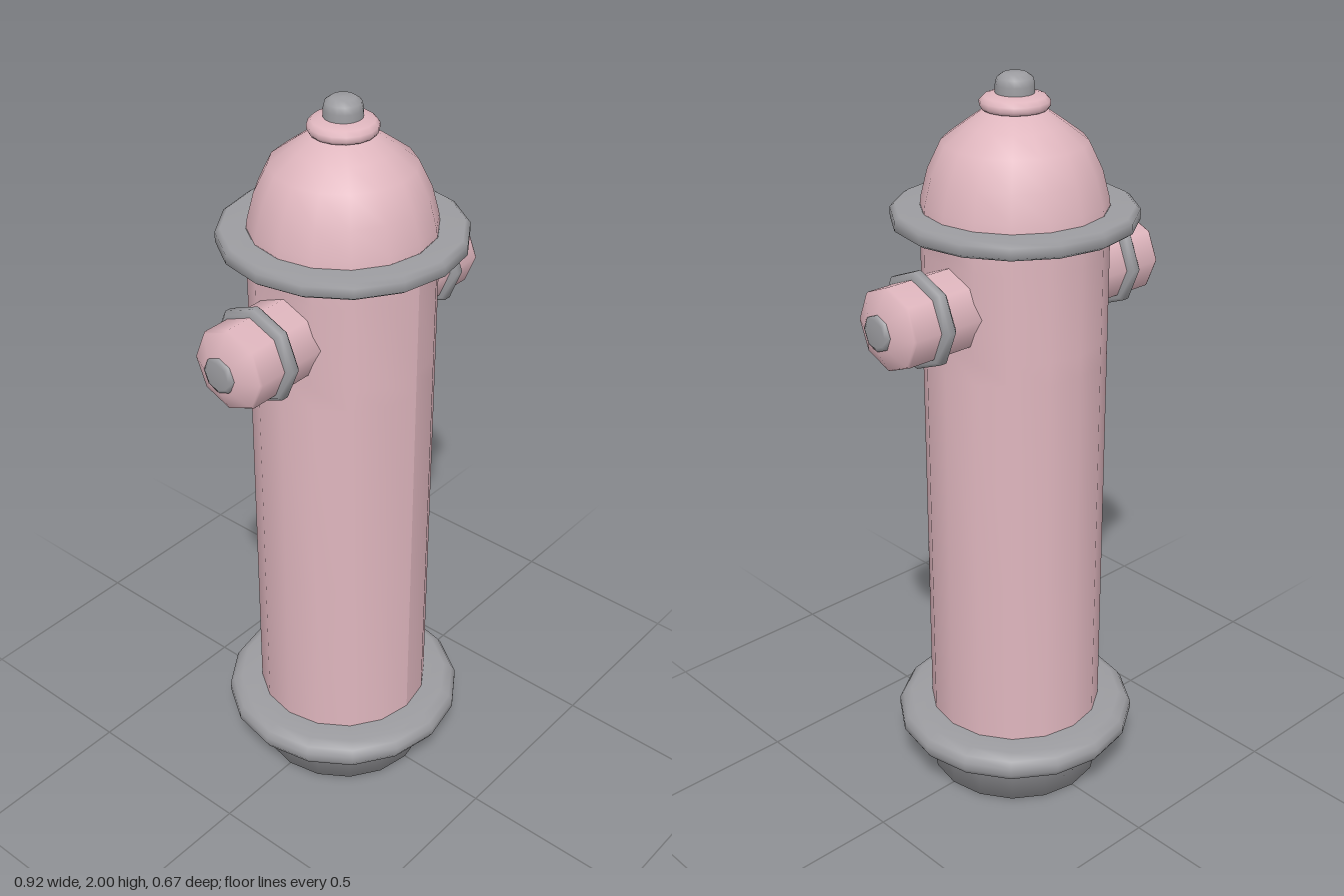
import * as THREE from 'three';

const pink = new THREE.MeshStandardMaterial({ color: 0xdfb6be });
pink.name = 'pink paint';
const grey = new THREE.MeshStandardMaterial({ color: 0x9c9ca0 });
grey.name = 'grey metal';

// Turned part from [radius, height] pairs listed bottom to top
function turned(name, profile, sides, material) {
  const points = profile.map(([r, y]) => new THREE.Vector2(r, y));
  const mesh = new THREE.Mesh(new THREE.LatheGeometry(points, sides), material);
  mesh.name = name;
  return mesh;
}

// Barrel whose side ridges are flattened where the outlets join
function makeBarrel() {
  const profile = [[0.24, 0.12], [0.24, 0.7], [0.24, 1.27], [0.24, 1.33], [0.24, 1.56], [0.24, 1.62], [0.24, 1.67]];
  const barrel = turned('barrel', profile, 16, pink);
  const p = barrel.geometry.attributes.position;
  for (let i = 0; i < p.count; i++) {
    const y = p.getY(i);
    if (y > 1.3 && y < 1.6 && Math.abs(p.getZ(i)) < 0.01) p.setX(i, Math.sign(p.getX(i)) * 0.222);
  }
  barrel.geometry.computeVertexNormals();
  return barrel;
}

// Side outlet: eight-sided spout, collar and end button, pointing along +x
function makeOutlet(name) {
  const outlet = new THREE.Group();
  outlet.name = name;
  const parts = [
    turned('spout', [[0.108, 0.18], [0.108, 0.32], [0.108, 0.415], [0.104, 0.422], [0.055, 0.448], [0, 0.448]], 8, pink),
    turned('collar', [[0.1, 0.303], [0.118, 0.303], [0.127, 0.312], [0.127, 0.331], [0.118, 0.34], [0.1, 0.34]], 8, grey),
    turned('outletButton', [[0.047, 0.435], [0.047, 0.453], [0.036, 0.459], [0, 0.459]], 8, grey),
  ];
  for (const part of parts) {
    part.geometry.rotateZ(-Math.PI / 2);
    outlet.add(part);
  }
  outlet.position.y = 1.445;
  return outlet;
}

export function createModel() {
  const hydrant = new THREE.Group();
  hydrant.name = 'hydrant';

  // Foot and lower flange
  hydrant.add(turned('foot', [[0, 0], [0.24, 0], [0.24, 0.14]], 16, grey));
  hydrant.add(turned('lowerFlange', [
    [0.23, 0.12], [0.3, 0.12], [0.324, 0.134], [0.335, 0.152],
    [0.335, 0.173], [0.324, 0.191], [0.3, 0.205], [0.23, 0.205],
  ], 16, grey));

  hydrant.add(makeBarrel());

  // Upper flange and dome
  hydrant.add(turned('upperFlange', [
    [0.22, 1.625], [0.302, 1.625], [0.315, 1.634], [0.315, 1.66], [0.302, 1.669], [0.22, 1.669],
  ], 16, grey));
  hydrant.add(turned('dome', [
    [0.24, 1.655], [0.236, 1.69], [0.218, 1.76], [0.183, 1.833], [0.125, 1.876], [0.07, 1.915], [0, 1.92],
  ], 16, pink));

  // Top plate and operating nut
  hydrant.add(turned('topPlate', [
    [0.06, 1.905], [0.083, 1.912], [0.088, 1.92], [0.088, 1.932], [0.078, 1.943], [0.05, 1.95], [0, 1.95],
  ], 16, pink));
  hydrant.add(turned('topNut', [
    [0.049, 1.94], [0.049, 1.97], [0.045, 1.987], [0.03, 1.998], [0, 2],
  ], 16, grey));

  // Opposing side outlets
  const left = makeOutlet('leftOutlet');
  const right = makeOutlet('rightOutlet');
  right.rotation.y = Math.PI;
  hydrant.add(left, right);

  return hydrant;
}
